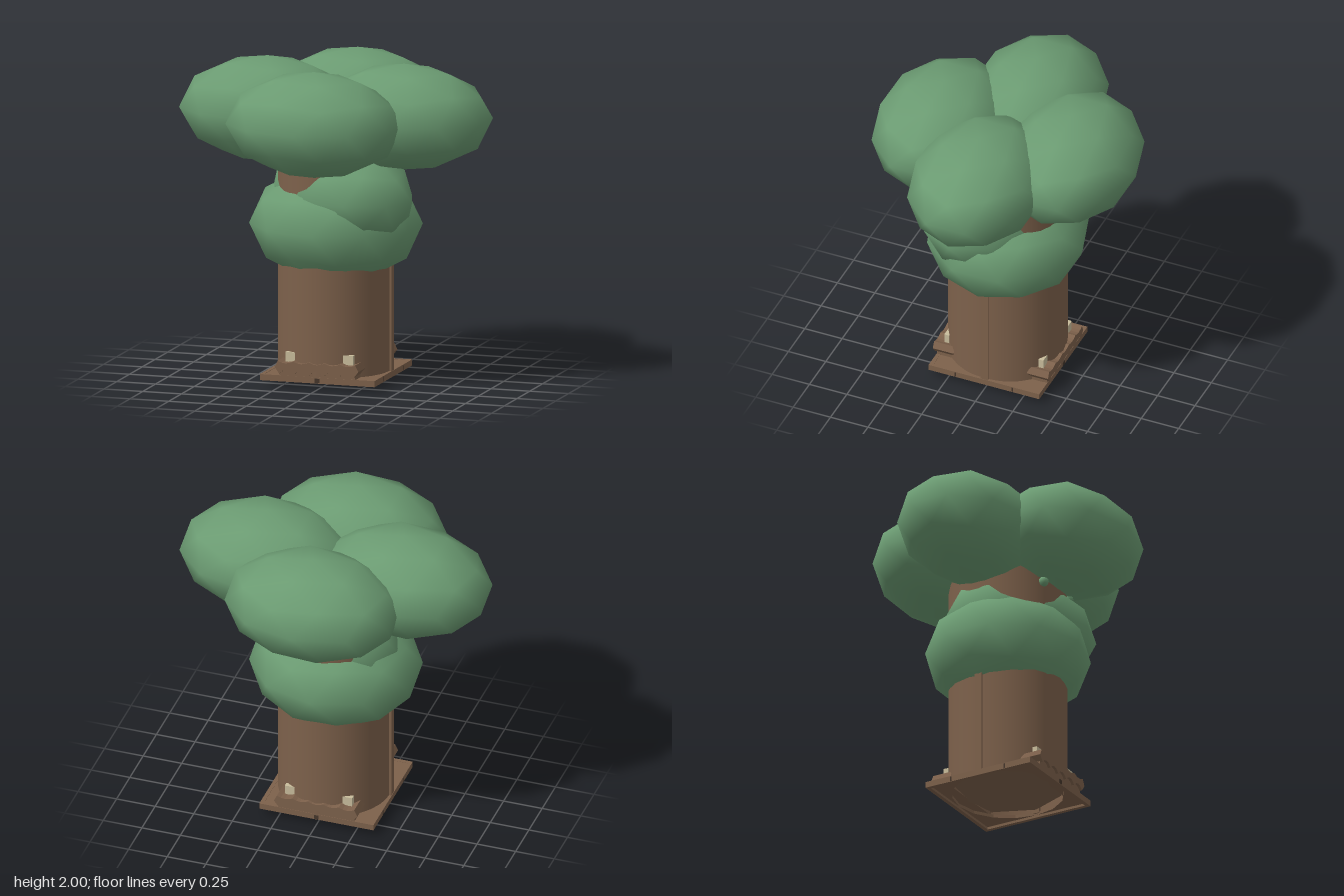
import * as THREE from 'three';

const mat = (name, hex) => {
  const m = new THREE.MeshStandardMaterial({ color: hex });
  m.name = name;
  return m;
};

export function createModel() {
  const tree = new THREE.Group();
  tree.name = 'tree';
  const leaf = mat('leaf green', 0x6b9b72);
  const bark = mat('bark brown', 0x7d614b);
  const barkOpen = mat('open bark brown', 0x7d614b);
  barkOpen.side = THREE.DoubleSide;
  const stone = mat('pale stone', 0xc9bd9c);
  const dark = mat('dark brown', 0x45362b);

  const add = (name, geo, material, x = 0, y = 0, z = 0, parent = tree) => {
    const m = new THREE.Mesh(geo, material);
    m.name = name;
    m.position.set(x, y, z);
    parent.add(m);
    return m;
  };
  const box = (name, w, h, d, material, x, y, z, parent) =>
    add(name, new THREE.BoxGeometry(w, h, d), material, x, y, z, parent);

  // Foliage: smooth icospheres with a pole pointing straight up
  const blob = (name, rx, ry, rz, x, y, z, yaw = 0) => {
    const g = new THREE.IcosahedronGeometry(1, 1);
    g.rotateZ(-Math.atan2(2, 1 + Math.sqrt(5)));
    g.scale(rx, ry, rz);
    add(name, g, leaf, x, y, z).rotation.y = yaw;
  };
  for (const s of [-1, 1]) {
    blob('sideCrown', 0.557, 0.33, 0.42, 0.44 * s, 1.67, 0);
    blob(s > 0 ? 'frontCrown' : 'backCrown', 0.557, 0.33, 0.42, 0, 1.67, 0.43 * s);
    blob('leafBud', 0.032, 0.032, 0.032, 0.15 * s, 1.36, 0.34);
  }
  blob('lowerFoliage', 0.536, 0.37, 0.5, 0, 0.98, 0);
  blob('middleFoliage', 0.51, 0.33, 0.37, 0.06, 1.17, 0.05, -0.46);

  // Hollow trunk with a shallow pointed underside
  const trunk = new THREE.CylinderGeometry(1, 1, 1.5, 32, 1, true);
  trunk.scale(0.355, 1, 0.37);
  add('trunk', trunk, barkOpen, 0, 0.81, 0);
  const root = new THREE.ConeGeometry(0.34, 0.09, 8, 1, true);
  root.rotateX(Math.PI);
  add('rootPoint', root, barkOpen, 0, 0.05, 0);

  // Raised seams on both sides of the trunk
  for (const s of [-1, 1]) box('trunkSeam', 0.03, 1.0, 0.05, bark, 0.352 * s, 0.57, 0);

  // Square base plate with a round opening and a rim
  const plate = new THREE.Shape([[-1, -1], [1, -1], [1, 1], [-1, 1]]
    .map(([x, y]) => new THREE.Vector2(x * 0.36, y * 0.36)));
  plate.holes.push(new THREE.Path().absarc(0, 0, 0.345, 0, Math.PI * 2, true));
  const plateGeo = new THREE.ExtrudeGeometry(plate, { depth: 0.02, bevelEnabled: false, curveSegments: 8 });
  plateGeo.rotateX(-Math.PI / 2);
  add('basePlate', plateGeo, bark, 0, 0.06, 0);
  for (const s of [-1, 1]) {
    box('baseRimEnd', 0.74, 0.038, 0.025, bark, 0, 0.063, 0.3575 * s);
    box('baseRimSide', 0.025, 0.038, 0.69, bark, 0.3575 * s, 0.063, 0);
    for (const z of [-0.19, 0.19]) box('rimNotch', 0.004, 0.03, 0.01, dark, 0.369 * s, 0.063, z);
  }

  // Scalloped ledge: wavy top edge and a row of arches below
  const ledge = new THREE.Shape();
  ledge.moveTo(-0.24, 0.095);
  ledge.lineTo(-0.27, 0.135);
  ledge.lineTo(-0.25, 0.175);
  const waves = 5, step = 0.5 / waves;
  for (let i = 0; i < waves; i++) {
    const x = -0.25 + i * step;
    ledge.quadraticCurveTo(x + step / 2, 0.148, x + step, 0.175);
  }
  ledge.lineTo(0.27, 0.135);
  ledge.lineTo(0.24, 0.095);
  const arch = 0.48 / waves;
  for (let i = 0; i < waves; i++) {
    const x = 0.24 - i * arch;
    ledge.quadraticCurveTo(x - arch / 2, 0.15, x - arch, 0.095);
  }
  const ledgeGeo = new THREE.ExtrudeGeometry(ledge, { depth: 0.14, bevelEnabled: false, curveSegments: 4 });

  // The same step, ledge and stone blocks at front and back
  for (const turn of [0, Math.PI]) {
    const step = new THREE.Group();
    step.name = turn ? 'backStep' : 'frontStep';
    step.rotation.y = turn;
    tree.add(step);
    box('stepBase', 0.49, 0.05, 0.105, bark, 0, 0.105, 0.315, step);
    add('scallopedLedge', ledgeGeo, bark, 0, 0, 0.245, step);
    for (const s of [-1, 1]) box('stoneBlock', 0.1, 0.065, 0.032, stone, 0.168 * s, 0.19, 0.315, step);
    box('keyhole', 0.03, 0.026, 0.006, dark, 0, 0.062, 0.37, step);
  }
  return tree;
}
